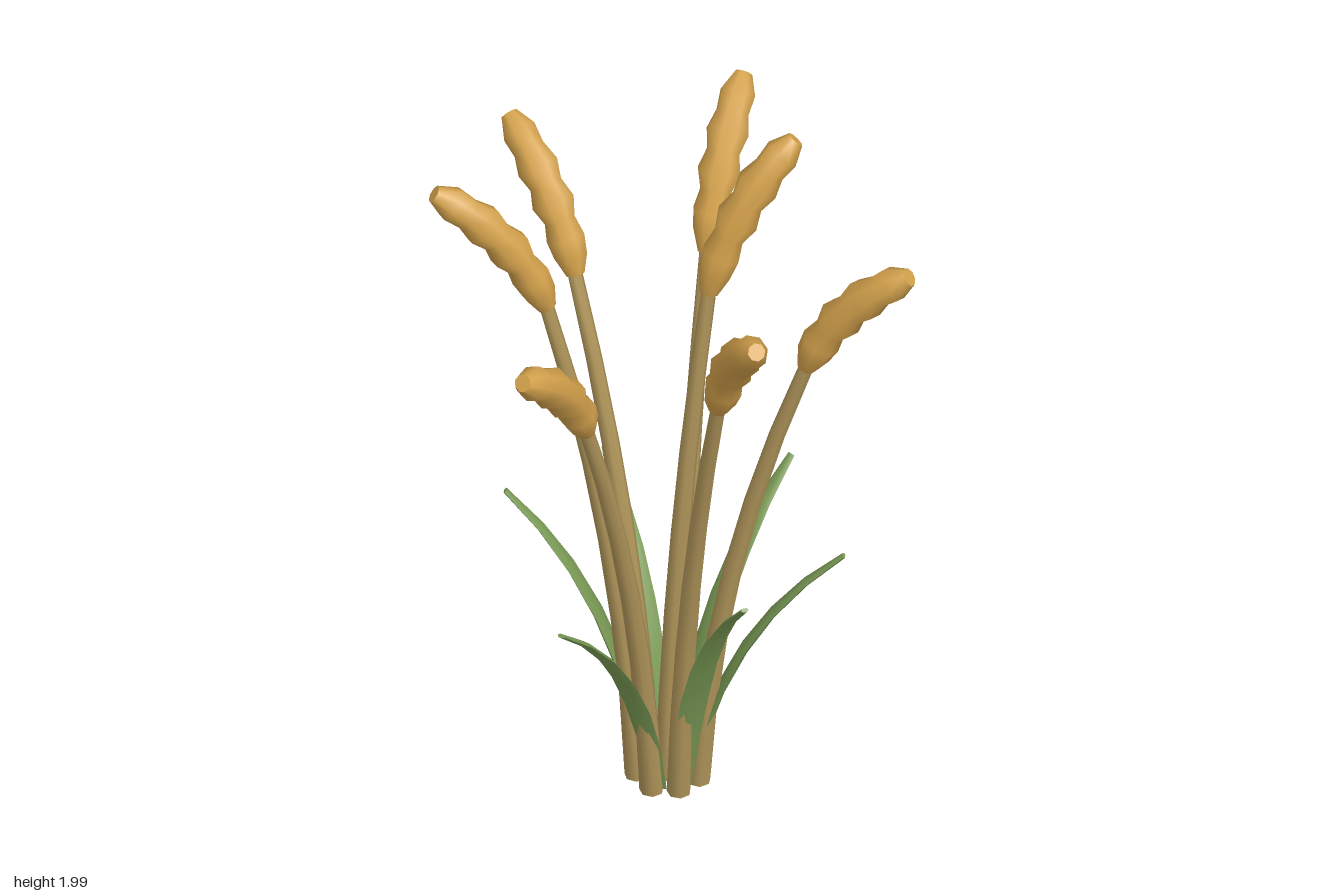
import * as THREE from 'three';
import { toCreasedNormals } from 'three/addons/utils/BufferGeometryUtils.js';

const V = (x, y, z) => new THREE.Vector3(x, y, z);

// Sweep an elliptical section along a curve; rows are [t, halfWidth, halfDepth]
function sweep(curve, rows, sides) {
  const pos = [], idx = [];
  const a = curve.getPoint(0), b = curve.getPoint(1);
  const side = V(b.z - a.z, 0, a.x - b.x).normalize();
  for (const [t, w, d] of rows) {
    const p = curve.getPoint(t);
    const n = curve.getTangent(t).cross(side).normalize();
    for (let j = 0; j < sides; j++) {
      const ang = (j / sides) * Math.PI * 2;
      const q = p.clone().addScaledVector(side, w * Math.cos(ang)).addScaledVector(n, d * Math.sin(ang));
      pos.push(q.x, Math.max(0, q.y), q.z);
    }
  }
  for (let i = 0; i < rows.length - 1; i++) {
    for (let j = 0; j < sides; j++) {
      const k = (j + 1) % sides, r = i * sides, s = r + sides;
      idx.push(r + j, r + k, s + j, r + k, s + k, s + j);
    }
  }
  // end caps
  const last = (rows.length - 1) * sides;
  for (let j = 1; j < sides - 1; j++) {
    idx.push(0, j + 1, j, last, last + j, last + j + 1);
  }
  const g = new THREE.BufferGeometry();
  g.setAttribute('position', new THREE.Float32BufferAttribute(pos, 3));
  g.setIndex(idx);
  return toCreasedNormals(g, 1.0);
}

const even = (list, depth) => list.map((w, i) => [i / (list.length - 1), w, depth ? depth[i] : w]);

export function createModel() {
  const group = new THREE.Group();
  const make = (name, color) => {
    const m = new THREE.MeshStandardMaterial({ color });
    m.name = name;
    return m;
  };
  const straw = make('straw', 0xb0955a);
  const grain = make('grain', 0xd4a24c);
  const green = make('leafGreen', 0x7a9a55);

  const add = (parent, name, geometry, material) => {
    const mesh = new THREE.Mesh(geometry, material);
    mesh.name = name;
    parent.add(mesh);
  };

  // Stalks: foot, neck (where the ear starts) and ear tip
  const stalks = [
    [[0.025, 0], [0.14, 1.54, 0], [0.38, 1.975, 0]],
    [[0.08, -0.065], [0.23, 1.46, -0.27], [0.405, 1.845, -0.48]],
    [[0.0, -0.08], [-0.1, 1.4, -0.365], [-0.185, 1.745, -0.64]],
    [[-0.05, -0.025], [-0.27, 1.52, -0.105], [-0.55, 1.895, -0.19]],
    [[-0.035, 0.05], [-0.285, 1.37, 0.25], [-0.52, 1.705, 0.42]],
    [[0.03, 0.08], [0.04, 1.44, 0.36], [0.047, 1.82, 0.64]],
    [[0.095, 0.05], [0.325, 1.42, 0.24], [0.55, 1.775, 0.41]],
  ];
  const stemRows = even([0.032, 0.03, 0.028, 0.026, 0.024, 0.022, 0.02]);
  const earRows = even([0.026, 0.045, 0.052, 0.042, 0.059, 0.045, 0.058, 0.044, 0.048, 0.024]);

  stalks.forEach(([f, n, t], i) => {
    const stalk = new THREE.Group();
    stalk.name = 'stalk' + (i + 1);
    const foot = V(f[0], 0, f[1]), neck = V(...n), tip = V(...t);
    // stem rises steeply, then leans outward
    const bend = foot.clone().lerp(neck, 0.14).setY(neck.y * 0.5);
    add(stalk, 'stem', sweep(new THREE.QuadraticBezierCurve3(foot, bend, neck), stemRows, 7), straw);
    // knobbly ear droops outward
    const droop = neck.clone().lerp(tip, 0.27).setY(neck.y + (tip.y - neck.y) * 0.62);
    add(stalk, 'ear', sweep(new THREE.QuadraticBezierCurve3(neck, droop, tip), earRows, 8), grain);
    group.add(stalk);
  });

  // Leaves: foot and tip of each arching blade
  const leaves = [
    [[0.03, -0.06], [0.028, 0.72, -0.49]],
    [[0.08, -0.035], [0.435, 0.805, -0.19]],
    [[0.08, 0.035], [0.435, 0.765, 0.22]],
    [[0.045, 0.06], [0.085, 0.83, 0.44]],
    [[-0.015, 0.035], [-0.365, 0.745, 0.28]],
    [[-0.015, -0.035], [-0.35, 0.875, -0.2]],
  ];
  const leafRows = even(
    [0.032, 0.037, 0.041, 0.038, 0.033, 0.023, 0.011],
    [0.014, 0.013, 0.012, 0.011, 0.009, 0.008, 0.006]);
  leaves.forEach(([f, t], i) => {
    const foot = V(f[0], 0, f[1]), tip = V(...t);
    const arch = foot.clone().lerp(tip, 0.2).setY(tip.y * 0.65);
    add(group, 'leaf' + (i + 1), sweep(new THREE.QuadraticBezierCurve3(foot, arch, tip), leafRows, 6), green);
  });

  return group;
}
